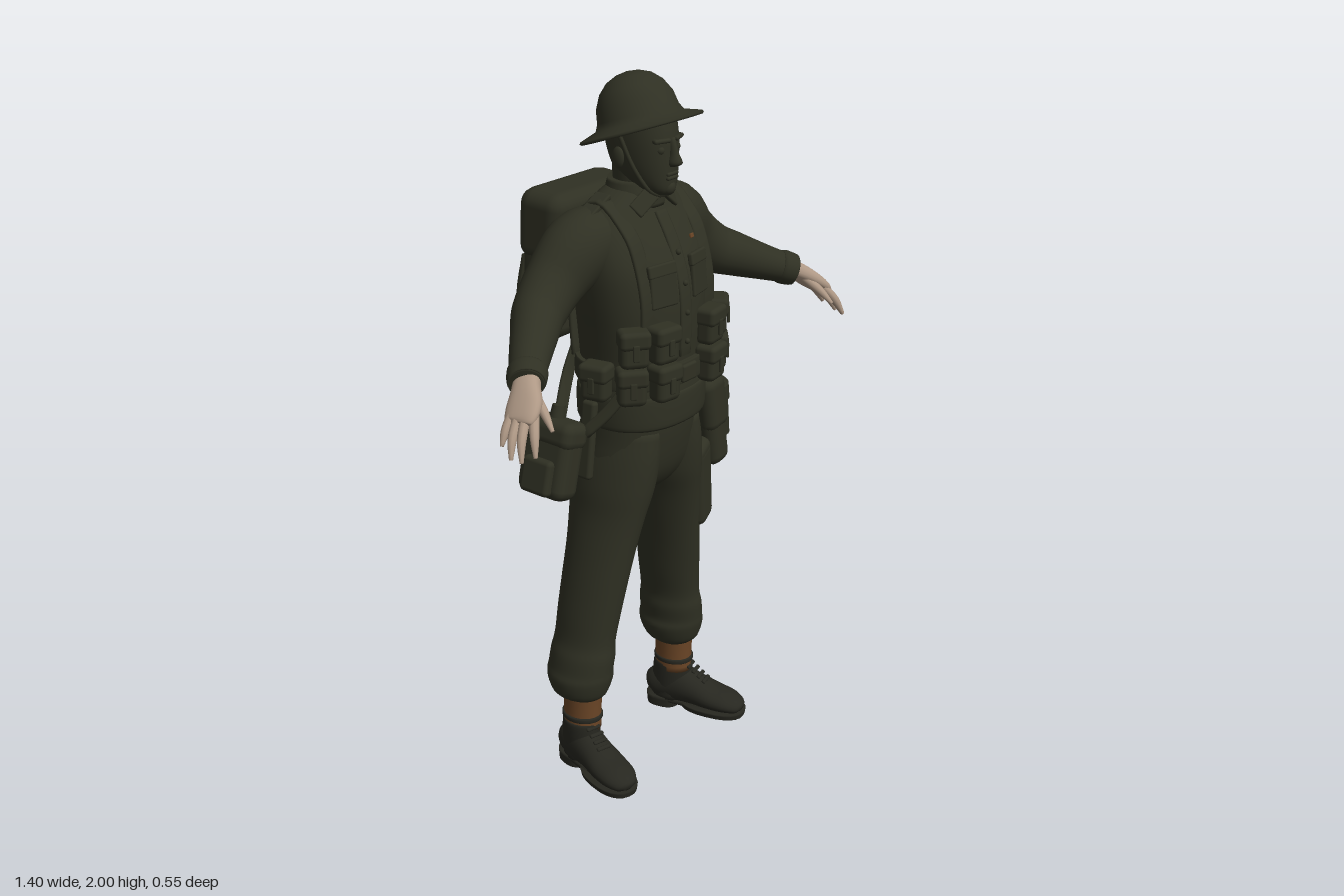
import * as THREE from 'three';
import { RoundedBoxGeometry } from 'three/addons/geometries/RoundedBoxGeometry.js';

const V = (x, y, z) => new THREE.Vector3(x, y, z);
const material = (name, color) => {
  const m = new THREE.MeshStandardMaterial({ color });
  m.name = name;
  return m;
};
const X = V(1, 0, 0), Y = V(0, 1, 0), Z = V(0, 0, 1);

function add(parent, name, geometry, mat, pos = [0, 0, 0], rot = [0, 0, 0]) {
  const mesh = new THREE.Mesh(geometry, mat);
  mesh.name = name;
  mesh.position.set(...pos);
  mesh.rotation.set(...rot);
  parent.add(mesh);
  return mesh;
}

function box(parent, name, mat, size, pos, rot, r = 0.01) {
  const radius = Math.min(r, Math.min(...size) * 0.48);
  return add(parent, name, new RoundedBoxGeometry(...size, 2, radius), mat, pos, rot);
}

// Smooth skin through sections [x, y, z, ru, rv]. Rings lie flat (sections rising in y),
// or, when ref is given, across the path with rv measured along ref.
function loft(parent, name, mat, pts, { ref = null, n = 2, sides = 24, steps = 4 } = {}) {
  const spline = (f) => new THREE.CatmullRomCurve3(pts.map(f), false, 'catmullrom', 0.5);
  const path = spline((p) => V(p[0], p[1], p[2])), size = spline((p) => V(p[3], p[4], 0));
  const rows = (pts.length - 1) * steps, pos = [], idx = [];
  const bend = (c) => Math.sign(c) * Math.abs(c) ** (2 / n);
  for (let i = 0; i <= rows; i++) {
    const c = path.getPoint(i / rows), s = size.getPoint(i / rows);
    const t = ref ? path.getTangent(i / rows) : Y;
    const v = (ref || Z).clone().addScaledVector(t, -t.dot(ref || Z)).normalize();
    const u = t.clone().cross(v);
    for (let j = 0; j < sides; j++) {
      const a = (j / sides) * Math.PI * 2;
      const p = c.clone().addScaledVector(u, bend(Math.cos(a)) * s.x).addScaledVector(v, bend(Math.sin(a)) * s.y);
      pos.push(p.x, p.y, p.z);
    }
  }
  const last = rows * sides, ends = (rows + 1) * sides;
  pos.push(...path.getPoint(0).toArray(), ...path.getPoint(1).toArray());
  for (let j = 0; j < sides; j++) {
    const k = (j + 1) % sides;
    for (let i = 0; i < rows; i++) {
      const a = i * sides + j, b = i * sides + k;
      idx.push(a, a + sides, b, b, a + sides, b + sides);
    }
    idx.push(ends, j, k, ends + 1, last + k, last + j);
  }
  const g = new THREE.BufferGeometry();
  g.setAttribute('position', new THREE.Float32BufferAttribute(pos, 3));
  g.setIndex(idx);
  g.computeVertexNormals();
  return add(parent, name, g, mat);
}

const strap = (parent, name, mat, pts, w, ref = X) =>
  loft(parent, name, mat, pts.map((p) => [...p, 0.006, w / 2]), { ref, n: 5, sides: 12 });

// Jacket sections, also used to lay gear on its surface
const TORSO = [
  [0, 1.07, 0.05, 0.178, 0.145], [0, 1.15, 0.052, 0.182, 0.15], [0, 1.22, 0.05, 0.175, 0.145],
  [0, 1.32, 0.05, 0.184, 0.15], [0, 1.42, 0.047, 0.196, 0.15], [0, 1.51, 0.04, 0.202, 0.14],
  [0, 1.59, 0.022, 0.195, 0.118], [0, 1.645, 0.015, 0.165, 0.092], [0, 1.68, 0.018, 0.11, 0.075], [0, 1.7, 0.02, 0.07, 0.06],
];
function torsoZ(x, y, dir = 1) {
  const i = Math.max(0, TORSO.findIndex((s, k) => k < TORSO.length - 1 && TORSO[k + 1][1] >= y));
  const a = TORSO[i], b = TORSO[i + 1], f = (y - a[1]) / (b[1] - a[1]);
  const [cz, rx, rz] = [2, 3, 4].map((k) => a[k] + (b[k] - a[k]) * f);
  return cz + dir * rz * Math.max(0, 1 - Math.abs(x / rx) ** 2.3) ** (1 / 2.3);
}

export function createModel() {
  const model = new THREE.Group();
  model.name = 'soldier';
  const cloth = material('olive cloth', 0x2f3023);
  const boot = material('dark leather', 0x272720);
  const gaiter = material('brown gaiter', 0x6a4526);
  const skin = material('skin', 0xae9885);

  // Body and trousers seat
  loft(model, 'jacket', cloth, TORSO, { n: 2.3, sides: 36 });
  loft(model, 'waistband', cloth, [[0, 1.065, 0.05, 0.178, 0.148], [0, 1.08, 0.05, 0.185, 0.155], [0, 1.15, 0.05, 0.186, 0.156], [0, 1.165, 0.05, 0.178, 0.148]], { n: 2.3, sides: 36 });
  loft(model, 'seat', cloth, [[0, 0.835, 0.03, 0.03, 0.06], [0, 0.87, 0.03, 0.12, 0.1], [0, 0.93, 0.035, 0.175, 0.128], [0, 1.02, 0.045, 0.172, 0.138], [0, 1.09, 0.05, 0.17, 0.14]], { n: 2.2 });
  loft(model, 'belt', cloth, [[0, 1.185, 0.05, 0.184, 0.155], [0, 1.19, 0.05, 0.19, 0.16], [0, 1.24, 0.05, 0.19, 0.16], [0, 1.245, 0.05, 0.184, 0.155]], { n: 2.3, sides: 36 });
  box(model, 'buckle', cloth, [0.06, 0.05, 0.015], [0, 1.215, 0.212]);
  strap(model, 'placket', cloth, [1.26, 1.36, 1.46, 1.56, 1.64].map((y) => [0, y, torsoZ(0, y)]), 0.045);
  for (const y of [1.3, 1.38, 1.46, 1.54]) add(model, 'button', new THREE.SphereGeometry(0.008, 10, 8), cloth, [0, y, torsoZ(0, y) + 0.007]);

  // Neck, head and face
  loft(model, 'neck', cloth, [[0, 1.62, 0.015, 0.06, 0.06], [0, 1.7, 0.028, 0.06, 0.062], [0, 1.8, 0.03, 0.062, 0.07]]);
  loft(model, 'collar', cloth, [[0, 1.65, 0.025, 0.09, 0.082], [0, 1.685, 0.025, 0.08, 0.08], [0, 1.718, 0.022, 0.07, 0.07]]);
  loft(model, 'head', cloth, [[0, 1.688, 0.115, 0.022, 0.025], [0, 1.705, 0.095, 0.045, 0.055], [0, 1.74, 0.065, 0.065, 0.087], [0, 1.79, 0.052, 0.076, 0.1], [0, 1.85, 0.045, 0.08, 0.103], [0, 1.91, 0.04, 0.075, 0.09], [0, 1.95, 0.03, 0.04, 0.05]], { n: 2.2 });
  loft(model, 'nose', cloth, [[0, 1.765, 0.15, 0.01, 0.01], [0, 1.776, 0.157, 0.017, 0.023], [0, 1.8, 0.153, 0.011, 0.016], [0, 1.84, 0.145, 0.009, 0.01]], { sides: 12 });
  for (const y of [1.735, 1.746]) box(model, 'lip', cloth, [0.045, 0.01, 0.02], [0, y, 0.145], [0, 0, 0], 0.005);
  add(model, 'chin', new THREE.SphereGeometry(0.023, 14, 10), cloth, [0, 1.708, 0.133]);

  // Tilted helmet with wide brim
  const profile = [[0.1, 0.04], [0.112, 0.002], [0.162, -0.012], [0.166, -0.008], [0.163, -0.003], [0.118, 0.012], [0.109, 0.03], [0.103, 0.065], [0.085, 0.1], [0.06, 0.124], [0.03, 0.137], [0, 0.141]];
  add(model, 'helmet', new THREE.LatheGeometry(profile.map((p) => new THREE.Vector2(...p)), 40), cloth, [0, 1.856, 0.045], [-0.34, 0, 0]);
  const chinCurve = new THREE.CatmullRomCurve3([V(-0.1, 1.86, 0.05), V(-0.075, 1.76, 0.085), V(-0.04, 1.7, 0.11), V(0, 1.684, 0.122), V(0.04, 1.7, 0.11), V(0.075, 1.76, 0.085), V(0.1, 1.86, 0.05)]);
  add(model, 'chinStrap', new THREE.TubeGeometry(chinCurve, 32, 0.006, 6), cloth);

  for (const s of [1, -1]) {
    const side = new THREE.Group();
    side.name = s > 0 ? 'leftSide' : 'rightSide';
    model.add(side);
    const at = (pts) => pts.map((p) => [p[0] * s, ...p.slice(1)]);

    add(side, 'ear', new THREE.SphereGeometry(0.024, 12, 8), cloth, [0.08 * s, 1.785, 0.035]).scale.set(0.4, 1.2, 0.8);
    add(side, 'eye', new THREE.SphereGeometry(0.013, 12, 8), cloth, [0.032 * s, 1.81, 0.134]);
    box(side, 'brow', cloth, [0.05, 0.012, 0.02], [0.033 * s, 1.835, 0.14], [0, 0.35 * s, 0]);
    box(side, 'collarPoint', cloth, [0.075, 0.045, 0.012], [0.052 * s, 1.672, 0.098], [-0.5, 0.45 * s, -0.45 * s], 0.005);
    box(side, 'shoulderTab', cloth, [0.11, 0.014, 0.05], [0.155 * s, 1.663, 0.01], [0, 0, -0.48 * s], 0.005);

    // Sleeve and cuff
    loft(side, 'sleeve', cloth, at([[0.1, 1.585, 0.005, 0.08, 0.085], [0.19, 1.56, -0.005, 0.1, 0.093], [0.28, 1.49, -0.012, 0.085, 0.078], [0.36, 1.433, 0.006, 0.072, 0.07], [0.42, 1.405, 0.045, 0.063, 0.062], [0.5, 1.37, 0.1, 0.05, 0.052], [0.555, 1.347, 0.142, 0.042, 0.045]]), { ref: Z });
    loft(side, 'cuff', cloth, at([[0.53, 1.358, 0.123, 0.044, 0.047], [0.54, 1.354, 0.13, 0.049, 0.052], [0.565, 1.343, 0.149, 0.046, 0.049], [0.57, 1.341, 0.153, 0.04, 0.043]]), { ref: Z });

    // Hand with spread fingers
    loft(side, 'palm', skin, at([[0.535, 1.365, 0.13, 0.026, 0.034], [0.575, 1.338, 0.158, 0.025, 0.036], [0.61, 1.308, 0.183, 0.022, 0.047], [0.64, 1.282, 0.197, 0.016, 0.044], [0.65, 1.274, 0.2, 0.008, 0.03]]), { ref: Z, n: 2.4 });
    const fingers = [
      [[0.62, 1.29, 0.222], [0.647, 1.25, 0.248], [0.664, 1.207, 0.266]],
      [[0.634, 1.285, 0.207], [0.67, 1.243, 0.227], [0.691, 1.197, 0.245]],
      [[0.64, 1.283, 0.188], [0.677, 1.243, 0.203], [0.698, 1.2, 0.217]],
      [[0.638, 1.287, 0.168], [0.668, 1.255, 0.173], [0.688, 1.222, 0.178]],
      [[0.575, 1.328, 0.178], [0.59, 1.292, 0.228], [0.602, 1.256, 0.266]],
    ];
    fingers.forEach((f, i) => loft(side, i < 4 ? 'finger' : 'thumb', skin,
      at([[...f[0], 0.013, 0.014], [...f[1], 0.012, 0.012], [...f[2], 0.005, 0.005]]), { ref: i < 4 ? Z : X, sides: 10 }));

    // Trouser leg gathered over the gaiter
    loft(side, 'trouserLeg', cloth, at([
      [0.21, 0.235, 0.005, 0.052, 0.06], [0.212, 0.255, 0, 0.075, 0.085], [0.209, 0.3, -0.002, 0.087, 0.1], [0.207, 0.33, 0, 0.081, 0.1],
      [0.2, 0.375, 0.003, 0.079, 0.1], [0.193, 0.42, 0.005, 0.071, 0.096], [0.18, 0.5, 0.01, 0.074, 0.099], [0.163, 0.6, 0.018, 0.075, 0.104], [0.143, 0.7, 0.025, 0.077, 0.11],
      [0.122, 0.8, 0.03, 0.08, 0.122], [0.105, 0.88, 0.035, 0.09, 0.132], [0.092, 0.97, 0.04, 0.086, 0.136], [0.08, 1.05, 0.045, 0.075, 0.13]]));

    // Gaiter and boot
    loft(side, 'gaiter', gaiter, at([[0.212, 0.135, 0.008, 0.05, 0.058], [0.211, 0.2, 0.008, 0.05, 0.058], [0.21, 0.27, 0.008, 0.053, 0.06]]));
    loft(side, 'gaiterStrap', boot, at([[0.212, 0.164, 0.008, 0.05, 0.058], [0.212, 0.167, 0.008, 0.054, 0.062], [0.212, 0.177, 0.008, 0.054, 0.062], [0.212, 0.18, 0.008, 0.05, 0.058]]));
    const foot = new THREE.Group();
    foot.name = 'boot';
    foot.position.set(0.212 * s, 0, 0);
    foot.rotation.y = 0.25 * s;
    side.add(foot);
    loft(foot, 'ankle', boot, [[0, 0.03, 0, 0.045, 0.06], [0, 0.09, 0.003, 0.05, 0.062], [0, 0.15, 0.006, 0.052, 0.06], [0, 0.158, 0.006, 0.045, 0.053]]);
    loft(foot, 'upper', boot, [[0, 0.055, -0.068, 0.025, 0.025], [0, 0.065, -0.045, 0.045, 0.048], [0, 0.075, 0.02, 0.05, 0.065], [0, 0.067, 0.08, 0.052, 0.05], [0, 0.056, 0.14, 0.057, 0.037], [0, 0.05, 0.19, 0.053, 0.03], [0, 0.042, 0.225, 0.035, 0.02], [0, 0.038, 0.236, 0.012, 0.008]], { ref: Y });
    loft(foot, 'sole', boot, [[0, 0.012, 0.14, 0.058, 0.1], [0, 0.03, 0.14, 0.062, 0.103]], { n: 2.4 });
    loft(foot, 'heel', boot, [[0, 0, -0.022, 0.045, 0.05], [0, 0.034, -0.022, 0.047, 0.053]], { n: 2.6 });
    box(foot, 'shank', boot, [0.085, 0.018, 0.14], [0, 0.025, 0.05]);
    for (let i = 0; i < 4; i++) box(foot, 'lace', boot, [0.045, 0.008, 0.012], [0, 0.147 - i * 0.013, 0.064 + i * 0.017], [0.6, 0, 0], 0.004);

    // Webbing and chest pocket
    const x = 0.128, run = (ys, dir) => ys.map((y) => [x * s, y, torsoZ(x, y, dir) + 0.005 * dir]);
    strap(side, 'shoulderStrap', cloth, [...run([1.24, 1.34, 1.44, 1.54, 1.61], 1), [x * s, 1.677, 0.02], ...run([1.61, 1.5, 1.36, 1.24], -1)], 0.05);
    box(side, 'chestPocket', cloth, [0.085, 0.1, 0.014], [0.075 * s, 1.46, torsoZ(0.075, 1.46)], [-0.1, 0.25 * s, 0], 0.006);
    box(side, 'pocketFlap', cloth, [0.09, 0.035, 0.016], [0.075 * s, 1.51, torsoZ(0.075, 1.51) + 0.003], [-0.2, 0.25 * s, 0], 0.006);

    // Ammunition pouches in two rows
    const pouches = [[0.1, 1.32, 0.205, 0.15], [0.178, 1.32, 0.168, 0.65], [0.1, 1.215, 0.21, 0.15], [0.182, 1.215, 0.165, 0.7], [0.212, 1.215, 0.07, 1.35]];
    for (const [px, py, pz, turn] of pouches) {
      const p = new THREE.Group();
      p.name = 'pouch';
      p.position.set(px * s, py, pz);
      p.rotation.y = turn * s;
      side.add(p);
      box(p, 'pouchBody', cloth, [0.078, 0.098, 0.056], [0, -0.002, 0], [0, 0, 0], 0.018);
      box(p, 'pouchFlap', cloth, [0.085, 0.05, 0.066], [0, 0.028, 0.001], [0, 0, 0], 0.014);
      box(p, 'pouchTab', cloth, [0.018, 0.045, 0.008], [0, -0.002, 0.033], [0, 0, 0], 0.003);
    }
    // Sling from the pack down to the hip bags
    strap(side, 'backSling', cloth, at([[0.06, 1.28, -0.11], [0.13, 1.18, -0.1], [0.2, 1.08, -0.07], [0.245, 1, -0.05]]), 0.04);
    strap(side, 'hipSling', cloth, at([[0.17, 1.2, 0.14], [0.205, 1.13, 0.1], [0.235, 1.07, 0.05]]), 0.035, Z);
  }
  box(model, 'ribbonBadge', gaiter, [0.02, 0.012, 0.006], [0.085, 1.56, torsoZ(0.085, 1.56) + 0.003], [-0.3, 0.3, 0], 0.002);

  // Thigh pocket on the left leg
  box(model, 'thighPocket', cloth, [0.1, 0.25, 0.1], [0.188, 0.785, 0.085], [0, 0.35, 0.13], 0.025);
  box(model, 'thighPocketFlap', cloth, [0.106, 0.06, 0.106], [0.175, 0.89, 0.085], [0, 0.35, 0.13], 0.025);

  // Left haversack and mess tin
  const bag = new THREE.Group();
  bag.name = 'haversack';
  bag.position.set(0.25, 0.963, -0.005);
  bag.rotation.z = 0.18;
  model.add(bag);
  box(bag, 'bagBody', cloth, [0.085, 0.275, 0.28], [0, -0.003, 0], [0, 0, 0], 0.03);
  box(bag, 'bagFlap', cloth, [0.096, 0.17, 0.29], [0.003, 0.06, 0], [0, 0, 0], 0.03);
  for (const z of [-0.08, 0.08]) box(bag, 'bagStrap', cloth, [0.012, 0.22, 0.025], [0.05, 0.01, z], [0, 0, 0], 0.004);
  const tin = new THREE.Group();
  tin.name = 'messTin';
  tin.position.set(0.362, 0.945, -0.008);
  tin.rotation.z = 0.1;
  tin.scale.set(0.72, 1, 1);
  model.add(tin);
  add(tin, 'tinBody', new THREE.CylinderGeometry(0.08, 0.08, 0.15, 32), cloth, [0, -0.005, 0]);
  add(tin, 'tinLid', new THREE.CylinderGeometry(0.084, 0.085, 0.045, 32), cloth, [0, 0.057, 0]);
  box(tin, 'tinHandle', cloth, [0.012, 0.13, 0.03], [0.083, -0.005, 0], [0, 0, 0], 0.004);

  // Right water bottle carrier
  const bottle = new THREE.Group();
  bottle.name = 'bottleCarrier';
  bottle.position.set(-0.282, 1.0, -0.03);
  bottle.rotation.z = -0.24;
  model.add(bottle);
  box(bottle, 'carrierBody', cloth, [0.085, 0.21, 0.165], [0, -0.01, 0], [0, 0, 0], 0.03);
  box(bottle, 'carrierFlap', cloth, [0.095, 0.08, 0.175], [0, 0.065, 0], [0, 0, 0], 0.03);
  box(bottle, 'carrierPocket', cloth, [0.035, 0.1, 0.1], [-0.045, -0.055, 0], [0, 0, 0], 0.014);
  add(bottle, 'bottleNeck', new THREE.CylinderGeometry(0.018, 0.022, 0.04, 16), cloth, [0, 0.118, 0]);
  box(model, 'scabbard', cloth, [0.025, 0.22, 0.045], [-0.215, 1.04, 0.04], [0, 0, -0.12], 0.01);

  // Backpack with flap and crossed straps
  const pack = new THREE.Group();
  pack.name = 'backpack';
  pack.position.set(0, 1.465, -0.178);
  pack.rotation.x = 0.05;
  model.add(pack);
  box(pack, 'packBody', cloth, [0.325, 0.4, 0.14], [0, -0.005, 0], [0, 0, 0], 0.04);
  box(pack, 'packFlap', cloth, [0.342, 0.2, 0.156], [0, 0.108, -0.003], [0, 0, 0], 0.045);
  for (const s of [1, -1]) {
    box(pack, 'crossStrap', cloth, [0.03, 0.25, 0.01], [0.03 * s, -0.085, -0.073 - 0.003 * s], [0, 0, 0.6 * s], 0.004);
    box(pack, 'flapStrap', cloth, [0.024, 0.2, 0.012], [0.085 * s, 0.04, -0.081], [0, 0, 0], 0.004);
    box(pack, 'flapBuckle', cloth, [0.034, 0.025, 0.014], [0.085 * s, -0.02, -0.082], [0, 0, 0], 0.004);
    strap(pack, 'looseStrap', cloth, [[0.13 * s, 0.01, -0.075], [0.135 * s, -0.1, -0.088], [0.13 * s, -0.19, -0.08]], 0.018);
  }
  return model;
}
